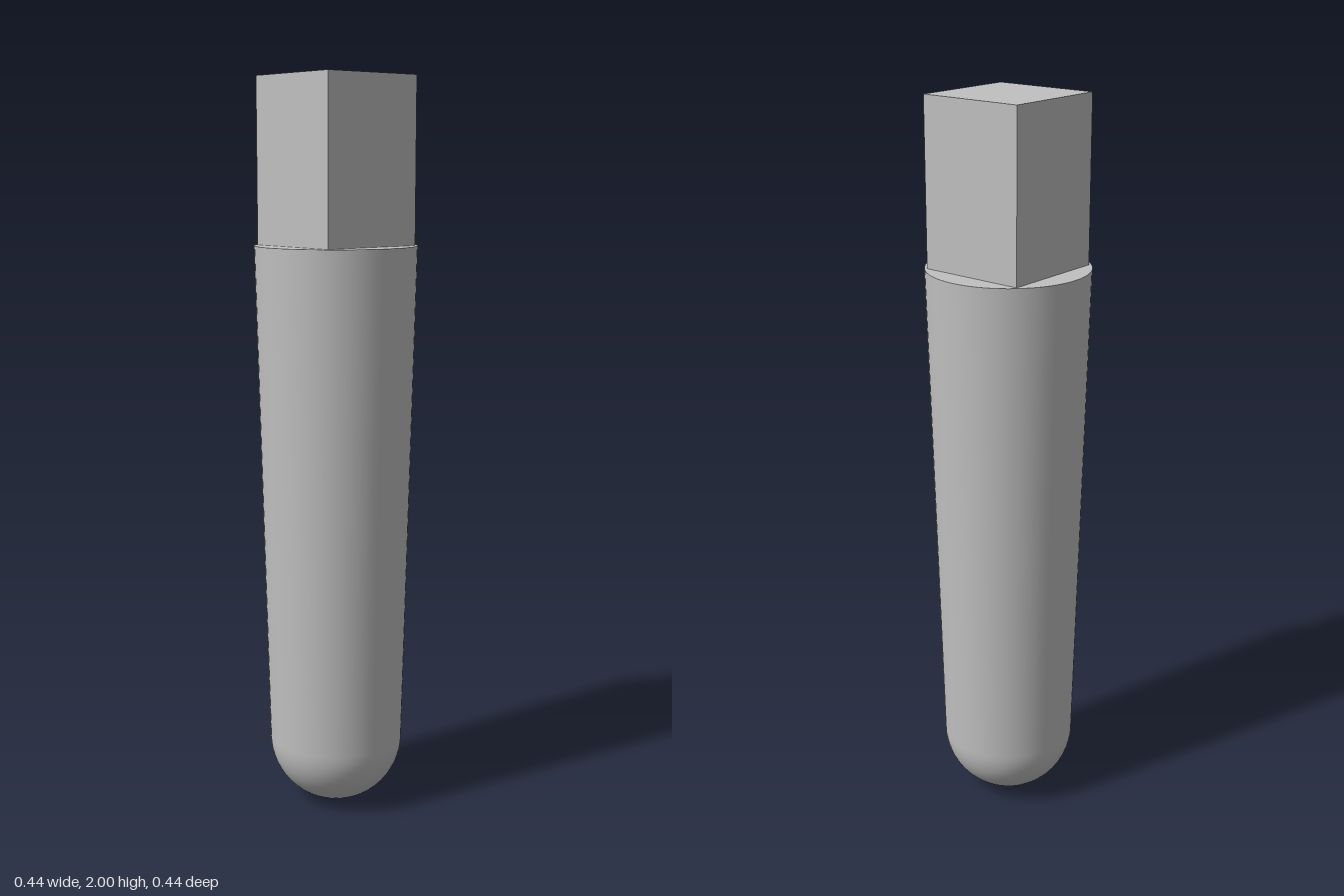
import * as THREE from 'three';

const TIP_RADIUS = 0.185;
const RIM_RADIUS = 0.218;
const RIM_Y = 1.56;
const SEGMENTS = 64;

export function createModel() {
  const model = new THREE.Group();
  model.name = 'taperedPeg';
  const grey = new THREE.MeshStandardMaterial({ color: 0xc0c0c0 });
  grey.name = 'plain grey';

  const add = (name, geometry, y) => {
    const mesh = new THREE.Mesh(geometry, grey);
    mesh.name = name;
    mesh.position.y = y;
    model.add(mesh);
  };

  // Tapered shaft with a hemispherical tip, turned from one profile
  const profile = [];
  for (let i = 0; i <= 16; i++) {
    const a = (i / 16) * Math.PI / 2;
    profile.push(new THREE.Vector2(TIP_RADIUS * Math.sin(a), TIP_RADIUS * (1 - Math.cos(a))));
  }
  profile.push(new THREE.Vector2(RIM_RADIUS, RIM_Y));
  add('shaft', new THREE.LatheGeometry(profile, SEGMENTS), 0);

  // Flat shoulder closing the shaft
  add('shoulder', new THREE.CircleGeometry(RIM_RADIUS, SEGMENTS).rotateX(-Math.PI / 2), RIM_Y);

  // Square drive head
  const headHeight = 2 - RIM_Y;
  add('squareHead', new THREE.BoxGeometry(0.298, headHeight, 0.298), RIM_Y + headHeight / 2);

  return model;
}
